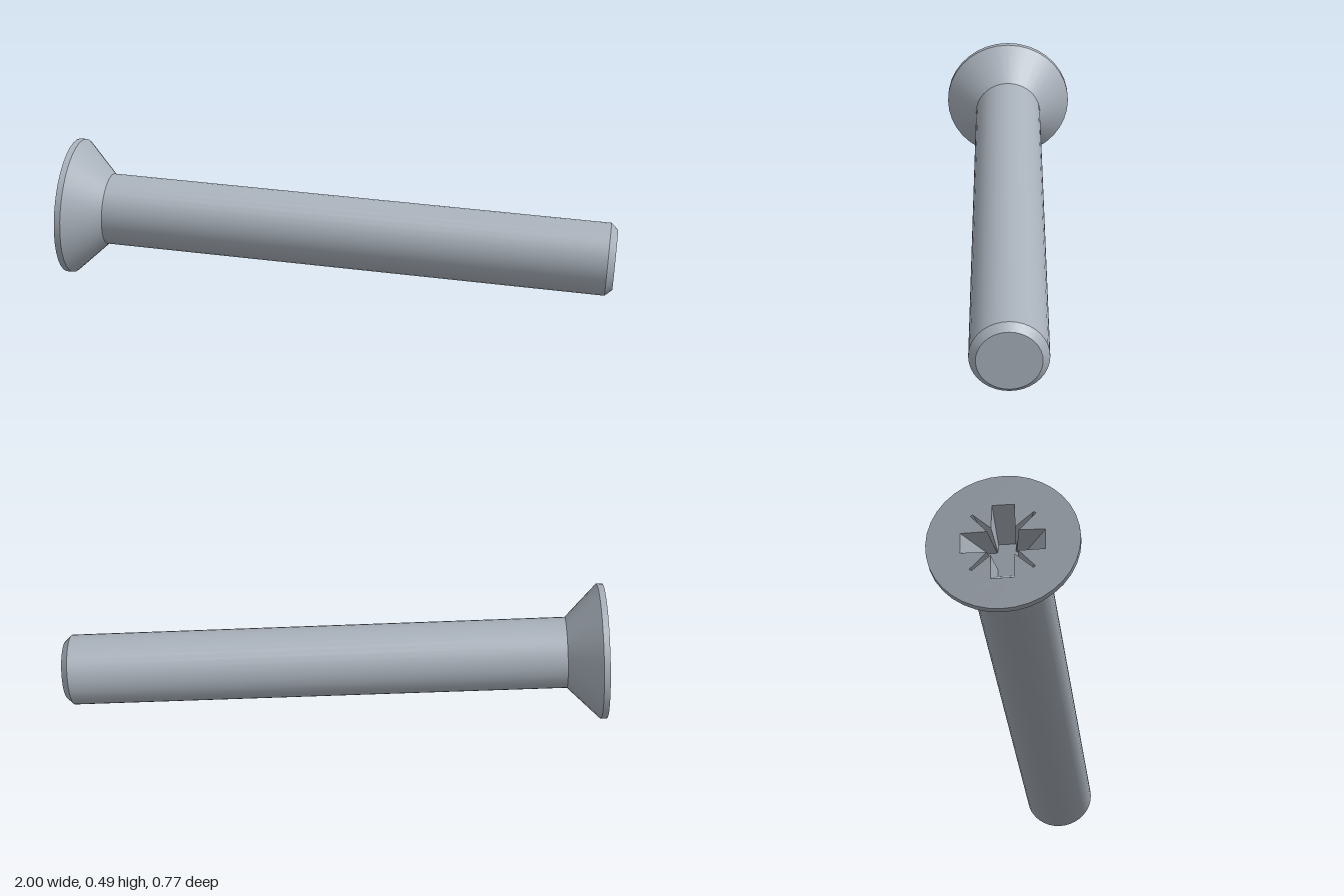
import * as THREE from 'three';
import { mergeGeometries } from 'three/addons/utils/BufferGeometryUtils.js';

const SEGMENTS = 36;
const HEAD_R = 0.2455, SHAFT_R = 0.129, TIP_R = 0.106;
const RIM = 0.022, NECK = 0.139, LENGTH = 1.97, CHAMFER = 0.025;
const RECESS_DEPTH = 0.115;

// Repeats one quadrant of a cross outline four times around the axis.
function quadrants(points) {
  const out = [];
  for (let i = 0; i < 4; i++) {
    for (const [x, y] of points) {
      out.push(new THREE.Vector2(x, y).rotateAround(new THREE.Vector2(), i * Math.PI / 2));
    }
  }
  return out;
}

// Tapered walls between the recess mouth and its floor, facing inwards.
function recessWalls(mouth, floor, depth) {
  const pos = [];
  mouth.forEach((a, i) => {
    const j = (i + 1) % mouth.length;
    const b = mouth[j], c = floor[j], d = floor[i];
    pos.push(a.x, a.y, 0, b.x, b.y, 0, c.x, c.y, -depth);
    pos.push(a.x, a.y, 0, c.x, c.y, -depth, d.x, d.y, -depth);
  });
  const g = new THREE.BufferGeometry();
  g.setAttribute('position', new THREE.Float32BufferAttribute(pos, 3));
  g.computeVertexNormals();
  return g;
}

export function createModel() {
  const steel = new THREE.MeshStandardMaterial({ color: 0xa9b1bb });
  steel.name = 'steel';
  const model = new THREE.Group();
  model.name = 'countersunkScrew';

  const screw = new THREE.Group();
  screw.name = 'screw';
  model.add(screw);

  const add = (name, geometry) => {
    const mesh = new THREE.Mesh(geometry, steel);
    mesh.name = name;
    screw.add(mesh);
  };
  const band = (name, r0, y0, r1, y1) => add(name, new THREE.LatheGeometry(
    [new THREE.Vector2(r0, y0), new THREE.Vector2(r1, y1)], SEGMENTS));

  // Turned surfaces, from the head along the axis to the tip
  band('headRim', HEAD_R, 0, HEAD_R, RIM);
  band('headCone', HEAD_R, RIM, SHAFT_R, NECK);
  band('shaft', SHAFT_R, NECK, SHAFT_R, LENGTH - CHAMFER);
  band('tipChamfer', SHAFT_R, LENGTH - CHAMFER, TIP_R, LENGTH);
  add('tipFace', new THREE.CircleGeometry(TIP_R, SEGMENTS).rotateX(-Math.PI / 2).translate(0, LENGTH, 0));

  // Cross recess with a thin diagonal notch between the arms
  const mouth = quadrants([[0.135, -0.036], [0.135, 0.036], [0.05, 0.038],
    [0.104, 0.098], [0.098, 0.104], [0.038, 0.05]]);
  const floor = quadrants([[0.06, -0.028], [0.06, 0.028], [0.031, 0.029],
    [0.032, 0.031], [0.031, 0.032], [0.029, 0.031]]);

  // Flat head face with the recess cut out
  const rimPoints = [];
  for (let i = 0; i < SEGMENTS; i++) {
    const a = i / SEGMENTS * Math.PI * 2;
    rimPoints.push(new THREE.Vector2(Math.cos(a) * HEAD_R, Math.sin(a) * HEAD_R));
  }
  const face = new THREE.Shape(rimPoints);
  face.holes.push(new THREE.Path(mouth));
  add('headFace', new THREE.ShapeGeometry(face).rotateX(Math.PI / 2));

  const walls = recessWalls(mouth, floor, RECESS_DEPTH);
  const base = new THREE.ShapeGeometry(new THREE.Shape(floor)).toNonIndexed();
  base.deleteAttribute('uv');
  base.translate(0, 0, -RECESS_DEPTH);
  add('driveRecess', mergeGeometries([walls, base]).rotateX(Math.PI / 2));

  // Lay the screw down, resting on the head rim and the tip
  const axis = new THREE.Vector3(0.977, -0.0606, 0.205).normalize();
  const up = new THREE.Vector3(0, 1, 0).addScaledVector(axis, -axis.y).normalize();
  const side = new THREE.Vector3().crossVectors(up, axis);
  screw.quaternion.setFromRotationMatrix(new THREE.Matrix4().makeBasis(up, axis, side));
  screw.position.set(-0.9475, 0.247, -0.145);
  return model;
}
